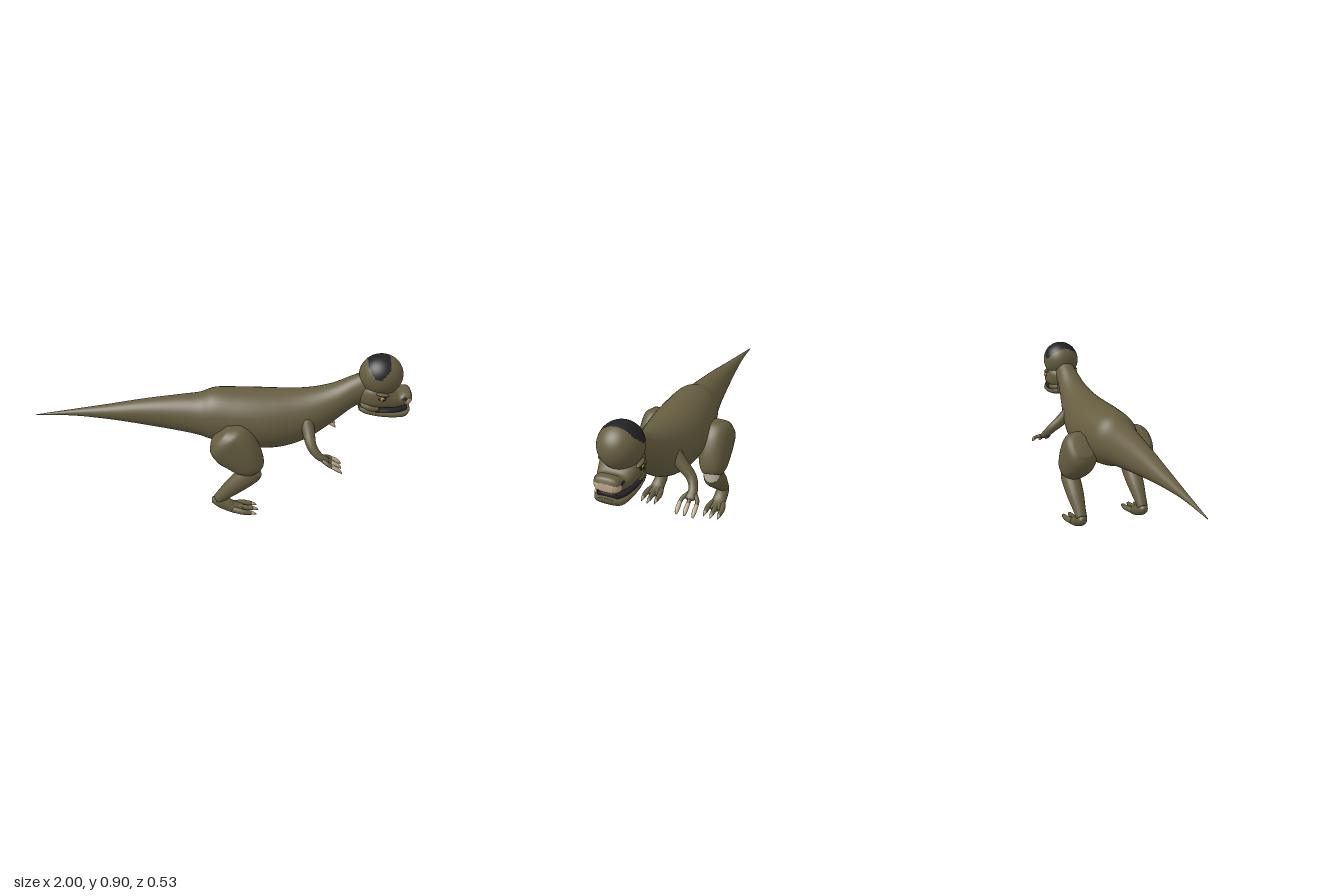
import * as THREE from 'three';

const paint = (name, hex) => {
  const m = new THREE.MeshStandardMaterial({ color: hex });
  m.name = name;
  return m;
};

// Smooth skin through sections [x, y, z, radiusUp, radiusSide].
// upright keeps every ring in the vertical plane; square < 1 makes the rings boxier.
function loft(sections, { steps = 24, sides = 20, upright = false, square = 1 } = {}) {
  const path = new THREE.CatmullRomCurve3(sections.map(s => new THREE.Vector3(s[0], s[1], s[2])), false, 'catmullrom');
  const size = new THREE.CatmullRomCurve3(sections.map(s => new THREE.Vector3(s[3], s[4], 0)), false, 'catmullrom');
  const soft = v => Math.sign(v) * Math.pow(Math.abs(v), square);
  const pos = [], idx = [];
  for (let i = 0; i <= steps; i++) {
    const c = path.getPoint(i / steps), r = size.getPoint(i / steps);
    const t = upright ? new THREE.Vector3(1, 0, 0) : path.getTangent(i / steps);
    const side = new THREE.Vector3(0, 0, 1).addScaledVector(t, -t.z).normalize();
    const up = new THREE.Vector3().crossVectors(side, t);
    for (let j = 0; j < sides; j++) {
      const a = (j / sides) * Math.PI * 2;
      const p = c.clone()
        .addScaledVector(side, soft(Math.cos(a)) * Math.max(r.y, 0.001))
        .addScaledVector(up, soft(Math.sin(a)) * Math.max(r.x, 0.001));
      pos.push(p.x, p.y, p.z);
    }
  }
  const first = pos.length / 3, last = first + 1;
  for (const c of [path.getPoint(0), path.getPoint(1)]) pos.push(c.x, c.y, c.z);
  for (let j = 0; j < sides; j++) {
    const k = (j + 1) % sides, e = steps * sides;
    for (let i = 0; i < steps; i++) {
      const a = i * sides + j, b = a + sides, c = i * sides + k, d = c + sides;
      idx.push(a, b, c, b, d, c);
    }
    idx.push(first, j, k, last, e + k, e + j);
  }
  const g = new THREE.BufferGeometry();
  g.setAttribute('position', new THREE.Float32BufferAttribute(pos, 3));
  g.setIndex(idx);
  g.computeVertexNormals();
  return g;
}

// Sorts triangles into two material groups by a rule on their centres
function split(g, rule) {
  const p = g.attributes.position, ix = g.index.array, sets = [[], []];
  for (let i = 0; i < ix.length; i += 3) {
    const f = [ix[i], ix[i + 1], ix[i + 2]];
    const mid = get => (get(f[0]) + get(f[1]) + get(f[2])) / 3;
    sets[rule(mid(n => p.getX(n)), mid(n => p.getY(n)), mid(n => p.getZ(n))) ? 1 : 0].push(...f);
  }
  g.setIndex([...sets[0], ...sets[1]]);
  g.addGroup(0, sets[0].length, 0);
  g.addGroup(sets[0].length, sets[1].length, 1);
  return g;
}

export function createModel() {
  const model = new THREE.Group();
  model.name = 'dinosaur';
  const skin = paint('olive skin', 0x665d40);
  const dark = paint('charcoal', 0x222225);
  const horn = paint('cream horn', 0xc2aa8a);
  const amber = paint('amber eye', 0xb9822a);

  const add = (name, geometry, material, parent = model) => {
    const m = new THREE.Mesh(geometry, material);
    m.name = name;
    parent.add(m);
    return m;
  };
  const ball = (name, x, y, z, sx, sy, sz, material, parent) => {
    const m = add(name, new THREE.SphereGeometry(1, 20, 14), material, parent);
    m.position.set(x, y, z);
    m.scale.set(sx, sy, sz);
    return m;
  };

  // Tail, trunk and neck: x, top, bottom, half width
  const trunk = [
    [-1, 0.471, 0.467, 0.002], [-0.8, 0.51, 0.477, 0.018], [-0.6, 0.548, 0.466, 0.04],
    [-0.4, 0.588, 0.442, 0.064], [-0.2, 0.62, 0.413, 0.09], [-0.1, 0.635, 0.395, 0.108],
    [-0.02, 0.665, 0.37, 0.13], [0.1, 0.668, 0.345, 0.148], [0.2, 0.669, 0.335, 0.153],
    [0.3, 0.67, 0.337, 0.148], [0.4, 0.675, 0.36, 0.132], [0.5, 0.69, 0.412, 0.112],
    [0.6, 0.722, 0.495, 0.087], [0.7, 0.775, 0.59, 0.066], [0.78, 0.81, 0.64, 0.058],
  ].map(([x, top, low, w]) => [x, (top + low) / 2, 0, (top - low) / 2, w]);
  add('body', loft(trunk, { steps: 84, sides: 40, upright: true }), skin);

  // Domed skull with a dark crown patch that narrows down each side
  const head = new THREE.Group();
  head.name = 'head';
  model.add(head);
  const dome = new THREE.SphereGeometry(1, 72, 56);
  dome.scale(0.111, 0.108, 0.105);
  dome.translate(0.832, 0.788, 0);
  split(dome, (x, y) => {
    const k = Math.min(1, Math.max(0, (y - 0.81) / 0.045));
    return y > 0.81 && x > 0.79 - 0.033 * k && x < 0.822 + 0.043 * k;
  });
  add('dome', dome, [skin, dark], head);

  // Upper snout with a pale beak tip
  const snout = loft([
    [0.735, 0.685, 0, 0.05, 0.06], [0.78, 0.69, 0, 0.068, 0.09], [0.84, 0.688, 0, 0.068, 0.099],
    [0.9, 0.668, 0, 0.047, 0.086], [0.93, 0.661, 0, 0.038, 0.074], [0.955, 0.67, 0, 0.043, 0.066],
    [0.985, 0.673, 0, 0.037, 0.059], [1, 0.668, 0, 0.018, 0.035],
  ], { steps: 56, sides: 40, upright: true, square: 0.75 });
  split(snout, (x, y, z) => x > 0.968 && y < 0.688 - 2 * z * z);
  add('snout', snout, [skin, horn], head);

  // Lower jaw and mouth line
  add('lowerJaw', loft([
    [0.735, 0.612, 0, 0.018, 0.06], [0.77, 0.607, 0, 0.024, 0.082], [0.85, 0.594, 0, 0.022, 0.087],
    [0.93, 0.59, 0, 0.022, 0.08], [0.975, 0.592, 0, 0.021, 0.066], [0.997, 0.603, 0, 0.01, 0.04],
  ], { steps: 36, sides: 32, upright: true, square: 0.75 }), skin, head);
  add('jawHinge', loft([
    [0.737, 0.635, 0, 0.025, 0.06], [0.78, 0.63, 0, 0.03, 0.085], [0.83, 0.625, 0, 0.022, 0.088],
  ], { upright: true, square: 0.75 }), skin, head);
  add('mouth', loft([
    [0.815, 0.615, 0, 0.008, 0.088], [0.88, 0.617, 0, 0.012, 0.086], [0.94, 0.616, 0, 0.012, 0.072],
    [0.978, 0.618, 0, 0.012, 0.05],
  ], { upright: true, square: 0.6 }), dark, head);

  for (const s of [1, -1]) {
    const label = s > 0 ? 'Near' : 'Far';

    // Eye, socket, brow and nostril
    ball('eyeSocket' + label, 0.836, 0.699, 0.092 * s, 0.024, 0.016, 0.011, dark, head);
    ball('eye' + label, 0.837, 0.699, 0.096 * s, 0.013, 0.012, 0.012, amber, head);
    ball('pupil' + label, 0.841, 0.699, 0.107 * s, 0.005, 0.006, 0.003, dark, head);
    ball('brow' + label, 0.838, 0.72, 0.091 * s, 0.034, 0.009, 0.014, skin, head).rotation.z = -0.15;
    ball('nostril' + label, 0.953, 0.682, 0.06 * s, 0.018, 0.008, 0.009, dark, head);

    // Hind leg
    const leg = new THREE.Group();
    leg.name = 'leg' + label;
    model.add(leg);
    add('thigh', loft([
      [0.015, 0.495, 0.165 * s, 0.06, 0.055], [0.045, 0.465, 0.167 * s, 0.108, 0.083],
      [0.09, 0.425, 0.17 * s, 0.122, 0.085], [0.14, 0.37, 0.175 * s, 0.108, 0.08],
      [0.18, 0.318, 0.182 * s, 0.083, 0.068], [0.198, 0.285, 0.186 * s, 0.055, 0.05],
    ], { sides: 32, square: 0.85 }), skin, leg);
    add('shin', loft([
      [0.205, 0.29, 0.186 * s, 0.05, 0.045], [0.178, 0.258, 0.186 * s, 0.058, 0.052],
      [0.105, 0.185, 0.186 * s, 0.05, 0.047], [0.045, 0.12, 0.186 * s, 0.037, 0.035],
      [0.01, 0.08, 0.186 * s, 0.028, 0.03],
    ]), skin, leg);
    add('foot', loft([
      [-0.022, 0.072, 0.186 * s, 0.016, 0.016], [0.015, 0.066, 0.186 * s, 0.037, 0.033],
      [0.07, 0.041, 0.186 * s, 0.036, 0.037], [0.105, 0.026, 0.186 * s, 0.026, 0.041],
      [0.15, 0.022, 0.186 * s, 0.014, 0.036],
    ], { upright: true }), skin, leg);
    for (const d of [-0.04, 0, 0.04]) {
      const z = (0.186 + d) * s, reach = d ? 0 : 0.01;
      add('toe', loft([
        [0.09, 0.03, (0.186 + d * 0.6) * s, 0.018, 0.016], [0.145, 0.027, z, 0.016, 0.015],
        [0.195 + reach, 0.023, z, 0.012, 0.011],
      ], { steps: 10, sides: 12 }), skin, leg);
      add('toeClaw', loft([
        [0.185 + reach, 0.024, z, 0.011, 0.01], [0.205 + reach, 0.021, z, 0.009, 0.008],
        [0.223 + reach, 0.014, z, 0.002, 0.002],
      ], { steps: 8, sides: 10 }), horn, leg);
    }

    // Arm, fingers and claws
    const arm = new THREE.Group();
    arm.name = 'arm' + label;
    model.add(arm);
    add('upperArm', loft([
      [0.465, 0.555, 0.085 * s, 0.035, 0.035], [0.478, 0.505, 0.13 * s, 0.032, 0.032],
      [0.495, 0.455, 0.185 * s, 0.026, 0.026], [0.53, 0.415, 0.21 * s, 0.021, 0.023],
      [0.57, 0.392, 0.212 * s, 0.014, 0.026], [0.585, 0.387, 0.212 * s, 0.008, 0.02],
    ], { steps: 30 }), skin, arm);
    for (const d of [-0.041, 0, 0.043]) {
      const z = (0.212 + d) * s;
      add('finger', loft([
        [0.555, 0.398, (0.212 + d * 0.4) * s, 0.012, 0.012], [0.582, 0.386, (0.212 + d * 0.9) * s, 0.01, 0.01],
        [0.612, 0.37, z, 0.009, 0.01],
      ], { steps: 10, sides: 12 }), skin, arm);
      add('fingerClaw', loft([
        [0.6, 0.377, z, 0.009, 0.01], [0.628, 0.362, z, 0.01, 0.011],
        [0.645, 0.349, z, 0.007, 0.009], [0.654, 0.339, z, 0.002, 0.004],
      ], { steps: 10, sides: 12 }), horn, arm);
    }
  }
  return model;
}
